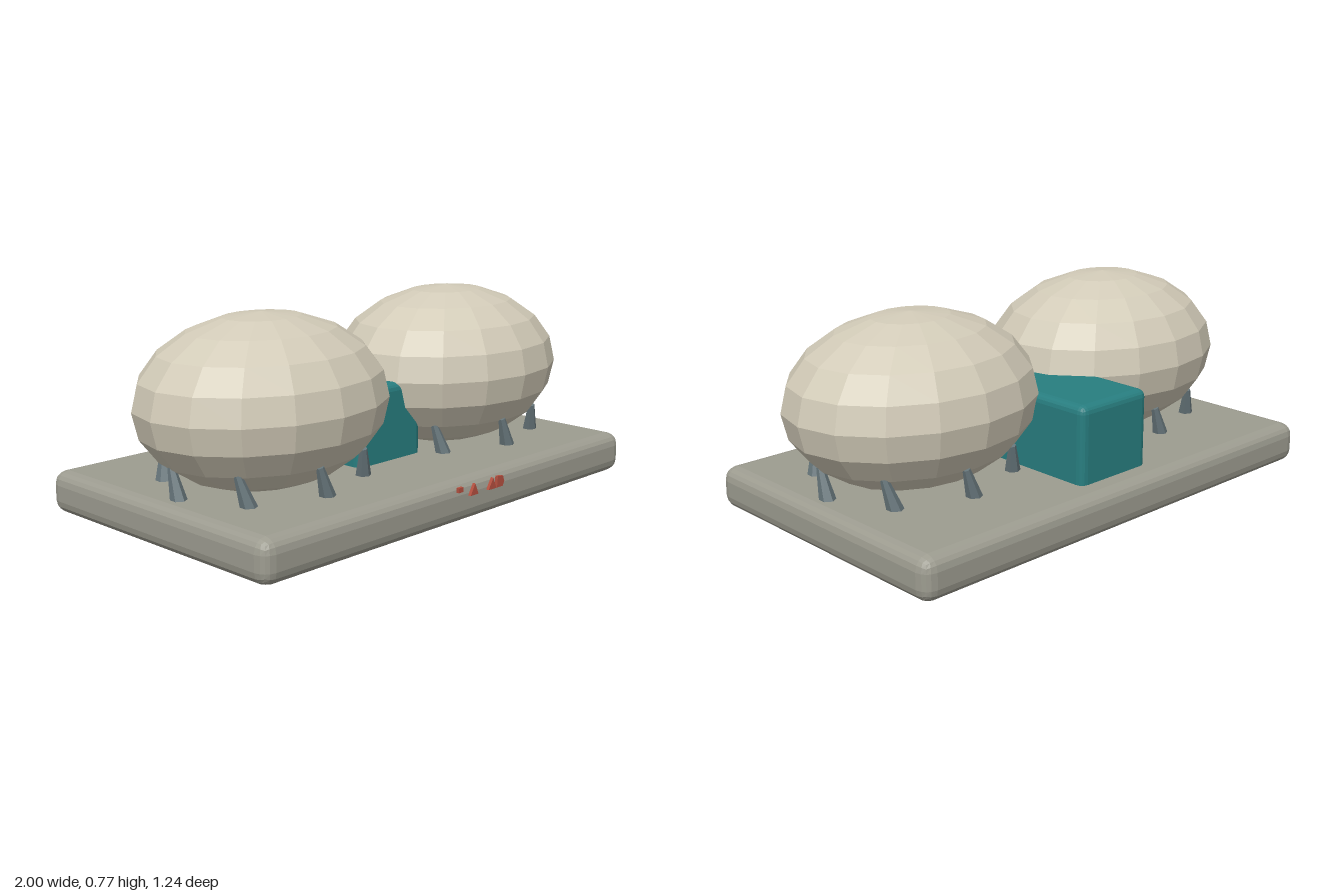
import * as THREE from 'three';
import { RoundedBoxGeometry } from 'three/addons/geometries/RoundedBoxGeometry.js';

const paint = (name, color) => new THREE.MeshStandardMaterial({ name, color, flatShading: true });

export function createModel() {
  const model = new THREE.Group();
  model.name = 'twinTanks';
  const shell = paint('pale stone', 0xd2cbb8);
  const slab = paint('concrete grey', 0x9d9c90);
  const teal = paint('teal', 0x287e80);
  const steel = paint('steel', 0x66757a);
  const red = paint('brick red', 0xb5503f);

  const add = (parent, name, geometry, material, x, y, z) => {
    const mesh = new THREE.Mesh(geometry, material);
    mesh.name = name;
    mesh.position.set(x, y, z);
    parent.add(mesh);
    return mesh;
  };

  // Bevelled ground slab and the block between the tanks
  add(model, 'baseSlab', new RoundedBoxGeometry(1.975, 0.16, 1.19, 2, 0.05), slab, -0.003, 0.08, -0.025);
  add(model, 'centreBlock', new RoundedBoxGeometry(0.345, 0.375, 0.7, 2, 0.03), teal, -0.005, 0.2675, -0.163);

  // Two faceted tanks, each on a ring of eight tapered legs
  const up = new THREE.Vector3(0, 1, 0);
  const legGeometry = new THREE.CylinderGeometry(0.014, 0.032, 0.13, 6);
  for (const side of [-1, 1]) {
    const tank = new THREE.Group();
    tank.name = side > 0 ? 'leftTank' : 'rightTank';
    tank.position.set(side * 0.5, 0, 0.02);
    model.add(tank);
    const body = add(tank, 'tankShell', new THREE.SphereGeometry(1, 16, 10), shell, 0, 0.45, 0);
    body.scale.set(0.5, 0.32, 0.412);

    for (let i = 0; i < 8; i++) {
      const a = i * Math.PI / 4, c = Math.cos(a), s = Math.sin(a);
      // Legs lean sideways around the ring
      const lean = new THREE.Vector3(-s * 0.32, 1, c * 0.32).normalize();
      const leg = add(tank, 'leg', legGeometry, steel, 0.39 * c - s * 0.017, 0.207, 0.33 * s + c * 0.017);
      leg.quaternion.setFromUnitVectors(up, lean);
    }
  }

  // Small red chips in front of the slab
  const chips = [
    [[-0.115, 0.142], [-0.092, 0.142], [-0.092, 0.16], [-0.115, 0.16]],
    [[-0.05, 0.118], [-0.006, 0.118], [-0.025, 0.16]],
    [[0.052, 0.118], [0.096, 0.118], [0.078, 0.16]],
    [[0.1, 0.118], [0.134, 0.118], [0.142, 0.135], [0.134, 0.157], [0.104, 0.16]],
  ];
  for (const points of chips) {
    const shape = new THREE.Shape(points.map(([x, y]) => new THREE.Vector2(x, y)));
    add(model, 'redChip', new THREE.ExtrudeGeometry(shape, { depth: 0.012, bevelEnabled: false }), red, 0, 0, 0.606);
  }
  return model;
}
